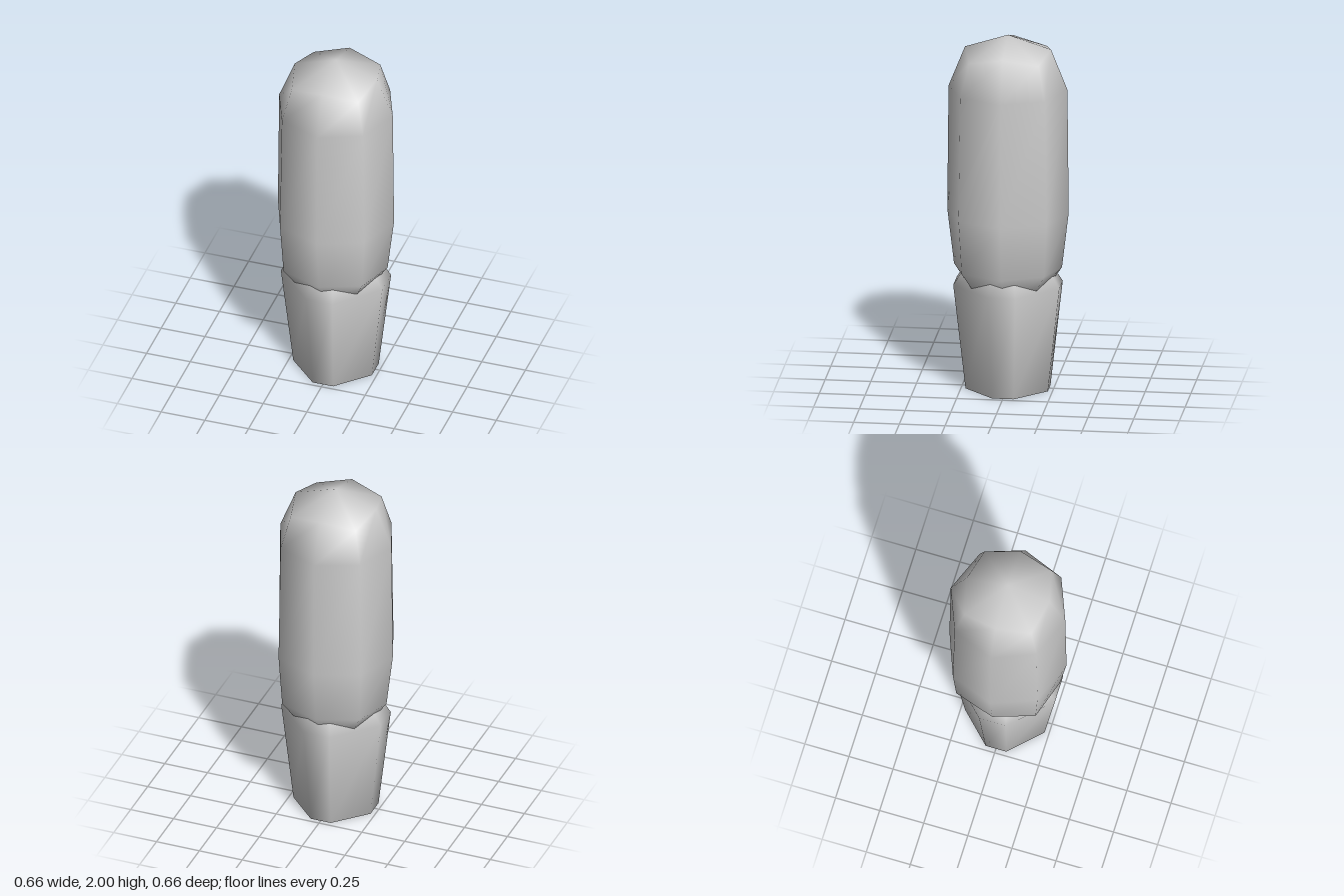
import * as THREE from 'three';

// Closed smooth skin over eight-sided rings, listed from bottom to top.
function skin(rings, bottomY, topY) {
  const n = 8;
  const pos = [];
  const index = [];
  for (const ring of rings) for (const [x, y, z] of ring) pos.push(x, y, z);
  const bottom = pos.length / 3;
  pos.push(0, bottomY, 0, 0, topY, 0);
  const last = (rings.length - 1) * n;
  for (let j = 0; j < n; j++) {
    const k = (j + 1) % n;
    for (let i = 0; i < last; i += n) {
      index.push(i + j, i + k, i + n + k, i + j, i + n + k, i + n + j);
    }
    index.push(bottom, k, j, bottom + 1, last + j, last + k);
  }
  const geometry = new THREE.BufferGeometry();
  geometry.setAttribute('position', new THREE.Float32BufferAttribute(pos, 3));
  geometry.setIndex(index);
  geometry.computeVertexNormals();
  return geometry;
}

// Repeats two neighbouring ring points around the four quarters.
function quarters(p, q) {
  const ring = [];
  for (let i = 0; i < 4; i++) {
    const c = Math.round(Math.cos(i * Math.PI / 2));
    const s = Math.round(Math.sin(i * Math.PI / 2));
    for (const [x, y, d] of [p, q]) ring.push([x * c - d * s, y, -(x * s + d * c)]);
  }
  return ring;
}

// Ring with points on the axes and on the diagonals, each with its own height.
const roundRing = (r, y, d, dy) => quarters([r, y, 0], [d, dy, d]);

// Diamond ring whose four corners, on the axes, are cut flat.
const cutRing = (r, y) => quarters([r, y, -r * 0.26], [r, y, r * 0.26]);

export function createModel() {
  const group = new THREE.Group();
  const material = new THREE.MeshStandardMaterial({ color: 0xcccccc });

  // Long rounded upper body
  const upper = new THREE.Mesh(skin([
    roundRing(0.2, 0.55, 0.165, 0.58),
    roundRing(0.295, 0.69, 0.225, 0.7),
    roundRing(0.332, 1.0, 0.24, 1.0),
    roundRing(0.325, 1.7, 0.232, 1.7),
    roundRing(0.235, 1.925, 0.19, 1.885),
  ], 0.5, 2), material);
  upper.name = 'upperBody';

  // Tapered base, with its bevelled top sunk into the body
  const base = new THREE.Mesh(skin([
    cutRing(0.225, 0),
    cutRing(0.29, 0.59),
    cutRing(0.21, 0.72),
  ], 0, 0.74), material);
  base.name = 'taperedBase';

  group.add(upper, base);
  return group;
}
